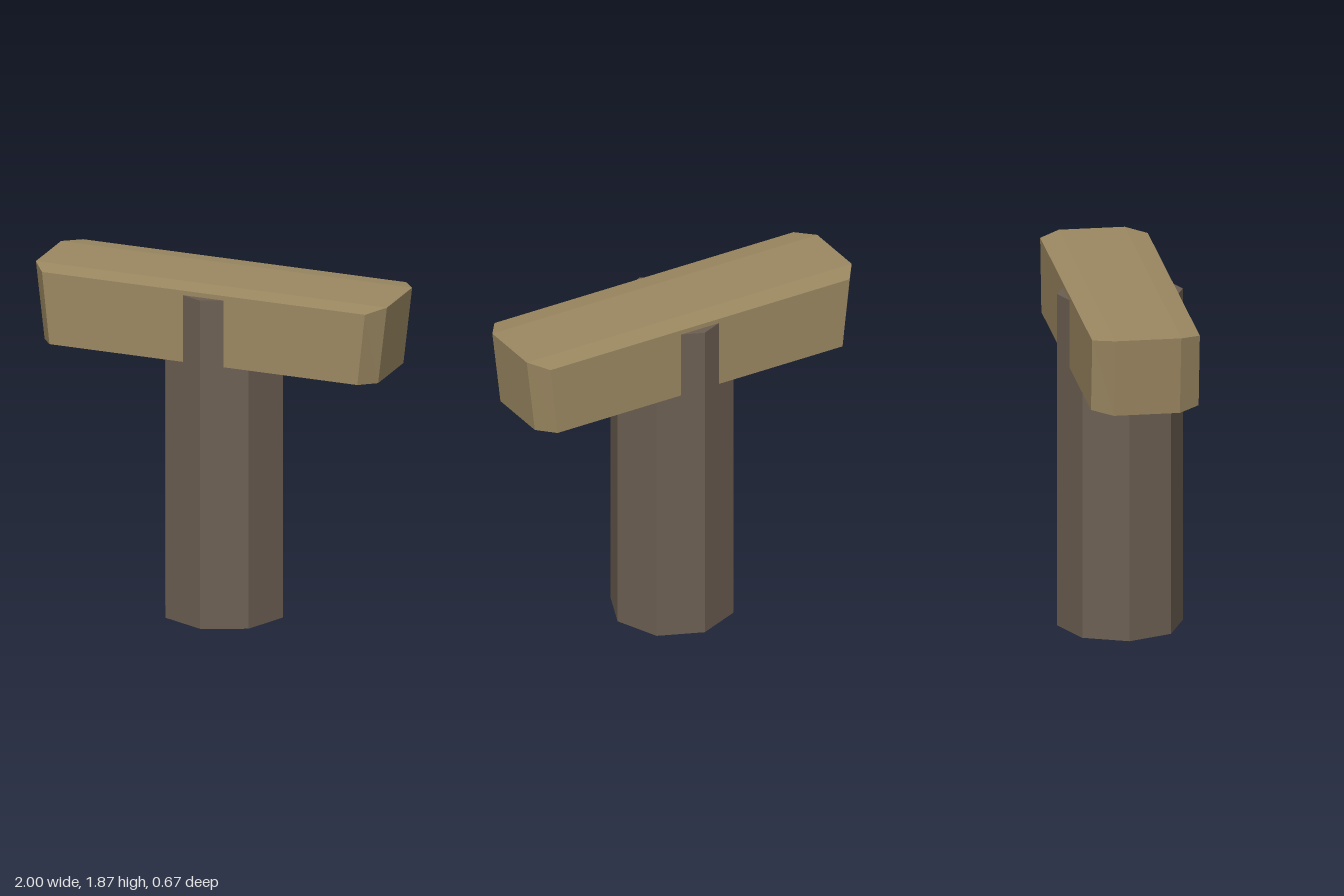
import * as THREE from 'three';

const postWood = new THREE.MeshStandardMaterial({ color: 0x6c5f52 });
const beamWood = new THREE.MeshStandardMaterial({ color: 0x9c8962 });
postWood.flatShading = beamWood.flatShading = true;

// Beam lofted from trapezoid sections along z: [z, bottomX, bottomY, topX, topY]
function beamGeometry(sections) {
  const rings = sections.map(([z, bx, by, tx, ty]) =>
    [[-bx, by, z], [bx, by, z], [tx, ty, z], [-tx, ty, z]]);
  const positions = [];
  const quad = (a, b, c, d) => positions.push(...a, ...b, ...c, ...a, ...c, ...d);
  for (let i = 0; i < rings.length - 1; i++) {
    for (let j = 0; j < 4; j++) {
      const k = (j + 1) % 4;
      quad(rings[i][j], rings[i][k], rings[i + 1][k], rings[i + 1][j]);
    }
  }
  // End faces
  quad(...[...rings[0]].reverse());
  quad(...rings[rings.length - 1]);
  const geometry = new THREE.BufferGeometry();
  geometry.setAttribute('position', new THREE.Float32BufferAttribute(positions, 3));
  geometry.computeVertexNormals();
  return geometry;
}

export function createModel() {
  const model = new THREE.Group();
  model.name = 'postWithCrossbeam';

  // Eight-sided upright, with a corner facing front
  const height = 1.83;
  const post = new THREE.Mesh(new THREE.CylinderGeometry(0.335, 0.335, height, 8), postWood);
  post.name = 'post';
  post.position.y = height / 2;
  model.add(post);

  // Crossbeam with chamfered ends that taper toward the bottom
  const outer = [0.877, 1.458, 0.92, 1.855];
  const inner = [0.95, 1.443, 1, 1.87];
  const beam = new THREE.Mesh(beamGeometry([
    [-0.287, ...outer], [-0.176, ...inner], [0.176, ...inner], [0.287, ...outer],
  ]), beamWood);
  beam.name = 'crossbeam';
  model.add(beam);

  return model;
}
